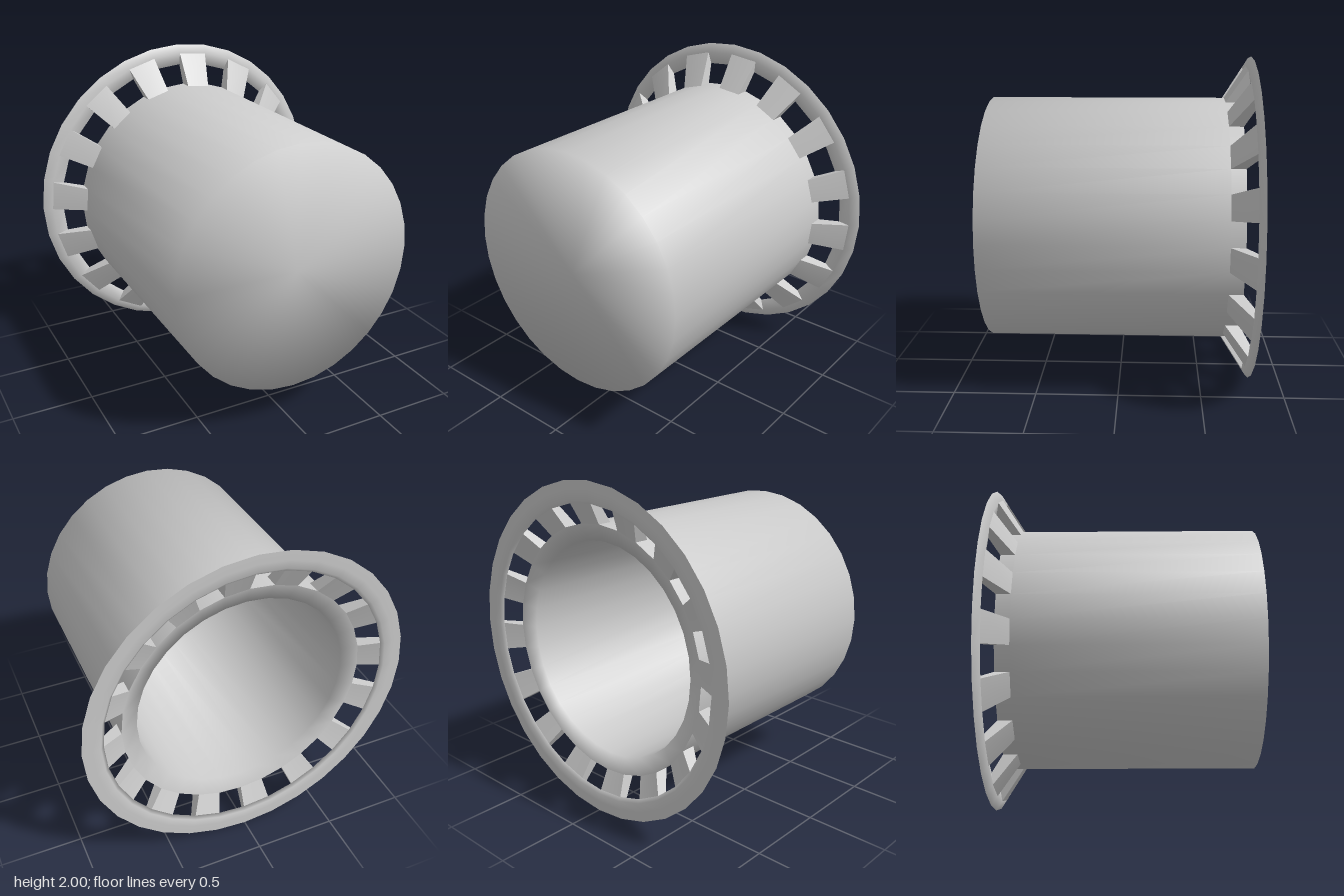
import * as THREE from 'three';

const SEGMENTS = 32;
const TEETH = 16;
const STEP = (Math.PI * 2) / SEGMENTS;

export function createModel() {
  const group = new THREE.Group();
  const material = new THREE.MeshStandardMaterial({ color: 0xcccccc });

  const add = (name, geometry) => {
    geometry.translate(0, 1, 0);
    const mesh = new THREE.Mesh(geometry, material);
    mesh.name = name;
    group.add(mesh);
  };

  // Turned part around the z axis; profile points are [radius, z]
  const turned = (name, profile) => {
    const points = profile.map(([r, z]) => new THREE.Vector2(r, z));
    add(name, new THREE.LatheGeometry(points, SEGMENTS).rotateX(Math.PI / 2));
  };

  // Drum with a softly shaded flat front
  turned('drum', [[0.75, -0.63], [0.75, 0.79], [0, 0.79]]);

  // Thick-walled hollow, open at the back, with its sloping mouth
  turned('hollow', [[0, 0.69], [0.65, 0.69], [0.65, -0.685], [0.75, -0.715]]);
  turned('mouthEdge', [[0.75, -0.715], [0.75, -0.63]]);

  // Outer ring of the flared flange, rounded towards the back
  turned('flangeRing', [[1, -0.79], [0.945, -0.755], [0.87, -0.77], [0.89, -0.787], [0.94, -0.79], [1, -0.79]]);

  // Flange spokes, with open slots between them
  const front = [[0.75, -0.63], [0.945, -0.755]];
  const back = [[0.75, -0.715], [0.87, -0.77]];
  for (let i = 0; i < TEETH; i++) {
    const spoke = new THREE.BoxGeometry(1, 1, 1);
    const p = spoke.attributes.position;
    const angles = [];
    for (let v = 0; v < p.count; v++) {
      const angle = (i * 2 + p.getX(v) + 0.5) * STEP;
      const [r, z] = (p.getZ(v) > 0 ? front : back)[p.getY(v) > 0 ? 1 : 0];
      p.setXYZ(v, r * Math.sin(angle), r * Math.cos(angle), z);
      angles.push(angle);
    }
    spoke.computeVertexNormals();
    // Round the shading of the front and back faces (the last eight corners)
    const n = spoke.attributes.normal;
    for (let v = 16; v < 24; v++) {
      const tilt = Math.hypot(n.getX(v), n.getY(v)) * Math.sign(n.getZ(v));
      n.setXYZ(v, tilt * Math.sin(angles[v]), tilt * Math.cos(angles[v]), n.getZ(v));
    }
    add('flangeSpoke', spoke);
  }

  return group;
}
